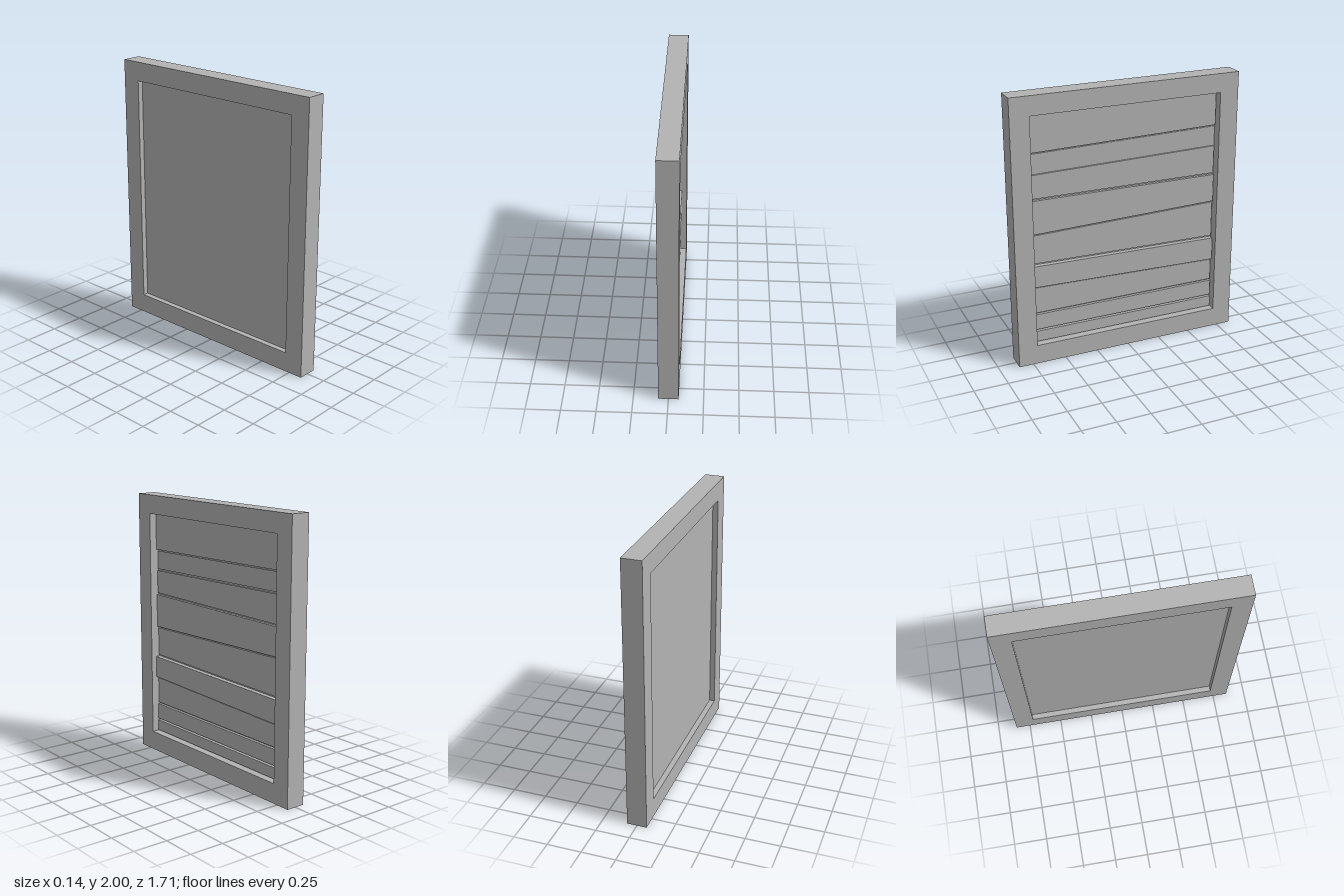
import * as THREE from 'three';

const W = 0.857, H = 2, T = 0.0725;          // half width, height, half thickness
const OW = 0.715, OY0 = 0.145, OY1 = 1.86;   // opening half width, bottom, top
const SW = 0.708;                            // slat half width
const GAP = 0.012;

// Points are [u, y] on the broad face, seen from +x (u runs towards -z).
function polygon(points) {
  return new THREE.Shape(points.map(([u, y]) => new THREE.Vector2(u, y)));
}

// Extrude a face outline between two x positions.
function slab(shape, x0, x1) {
  const g = new THREE.ExtrudeGeometry(shape, { depth: x1 - x0, bevelEnabled: false });
  g.translate(0, 0, x0);
  g.rotateY(Math.PI / 2);
  return g;
}

function rect(w, y0, y1) {
  return [[-w, y0], [w, y0], [w, y1], [-w, y1]];
}

export function createModel() {
  const group = new THREE.Group();
  const grey = new THREE.MeshStandardMaterial({ color: 0xb3b3b3 });
  grey.name = 'plain grey';

  const add = (name, geometry) => {
    const mesh = new THREE.Mesh(geometry, grey);
    mesh.name = name;
    group.add(mesh);
  };

  // Surrounding frame with a rectangular opening
  const frame = polygon(rect(W, 0, H));
  frame.holes.push(polygon(rect(OW, OY0, OY1).reverse()));
  add('frame', slab(frame, -T, T));

  // Flat backing board
  add('backPanel', slab(polygon(rect(OW, OY0, OY1)), -0.032, 0));

  // Slats, top to bottom: lower edge height at each end and front face depth
  const slats = [
    [1.585, 1.61, 0.022], [1.435, 1.46, 0.008], [1.25, 1.24, 0.014],
    [0.987, 1.02, 0.022], [0.762, 0.737, 0.011], [0.588, 0.552, 0.036],
    [0.378, 0.378, 0.017], [0.247, 0.247, 0.022], [0.152, 0.152, 0.026],
  ];
  let topA = 1.85, topB = 1.85;
  slats.forEach(([a, b, x], i) => {
    add('slat' + (i + 1), slab(polygon([[-SW, a], [SW, b], [SW, topB], [-SW, topA]]), -0.005, x));
    topA = a - GAP;
    topB = b - GAP;
  });

  return group;
}
